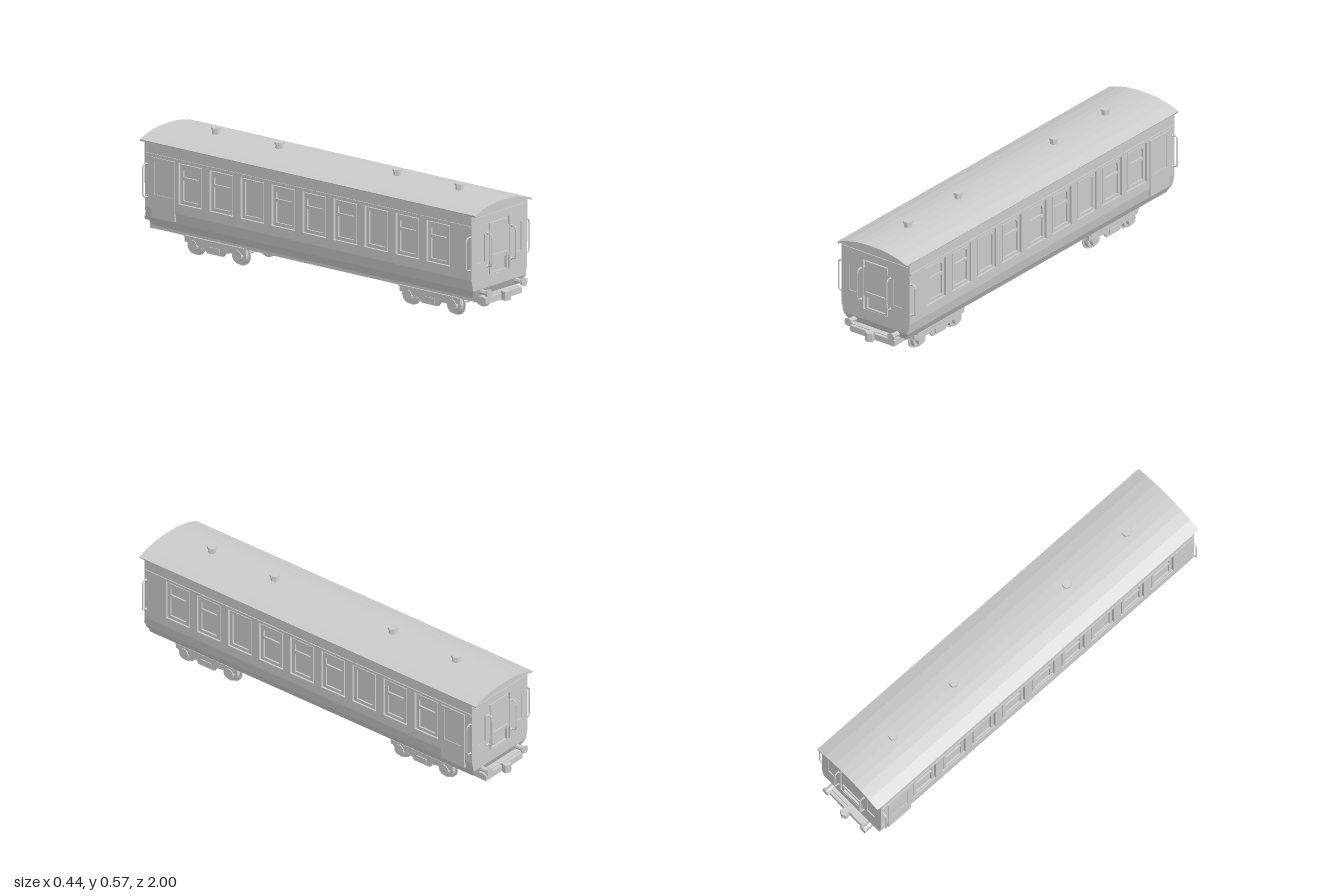
import * as THREE from 'three';

const mat = new THREE.MeshStandardMaterial({ color: 0xcccccc, flatShading: true, side: THREE.DoubleSide });

function add(parent, name, geo, x = 0, y = 0, z = 0) {
  const m = new THREE.Mesh(geo, mat);
  m.name = name;
  m.position.set(x, y, z);
  parent.add(m);
  return m;
}
const box = (w, h, d) => new THREE.BoxGeometry(w, h, d);
// box given by its limits
function block(parent, name, x0, x1, y0, y1, z0, z1) {
  return add(parent, name, box(x1 - x0, y1 - y0, z1 - z0), (x0 + x1) / 2, (y0 + y1) / 2, (z0 + z1) / 2);
}
const poly = (pts, Type = THREE.Shape) => new Type(pts.map(p => new THREE.Vector2(p[0], p[1])));
const rect = (x0, x1, y0, y1, Type = THREE.Shape) => poly([[x0, y0], [x1, y0], [x1, y1], [x0, y1]], Type);
const extrude = (shape, depth) => new THREE.ExtrudeGeometry(shape, { depth, bevelEnabled: false, curveSegments: 8 });

// plate whose shape is drawn in (z, y), with its outer face at x = s * outer
function sidePlate(parent, name, shape, depth, outer, s) {
  const geo = extrude(shape, depth).rotateY(-Math.PI / 2);
  return add(parent, name, geo, s > 0 ? outer : depth - outer);
}
// plate whose shape is drawn in (x, y), with its outer face at z = s * outer
function endPlate(parent, name, shape, depth, outer, s) {
  return add(parent, name, extrude(shape, depth), 0, 0, s > 0 ? outer - depth : -outer);
}

// roof curve, one half from the crown outwards
const half = [[0, 0.543], [0.045, 0.542], [0.085, 0.538], [0.14, 0.527], [0.195, 0.508]];
const arc = half.slice(1).reverse().map(([x, y]) => [-x, y]).concat(half);
const innerArc = arc.map(([x, y]) => [x * 0.975, y - 0.008]);

const windowZ = Array.from({ length: 9 }, (_, i) => 0.749 - i * 0.1783);
const W = 0.068, Y0 = 0.25, Y1 = 0.44;

function addSide(g, s) {
  // outer wall pierced by the window bays
  const wall = rect(-0.928, 0.928, 0.205, 0.505);
  windowZ.forEach(z => wall.holes.push(rect(z - W, z + W, Y0, Y1, THREE.Path)));
  sidePlate(g, 'sideWall', wall, 0.012, 0.19, s);

  // window frames: every fourth bay is a tall plain light, the rest are arched
  windowZ.forEach((z, i) => {
    const frame = rect(z - W + 0.008, z + W - 0.008, Y0 + 0.004, Y1 - 0.006);
    const w = W - 0.023;
    if (i === 2 || i === 6) {
      frame.holes.push(rect(z - w, z + w, 0.268, 0.42, THREE.Path));
    } else {
      frame.holes.push(rect(z - w, z + w, 0.268, 0.362, THREE.Path));
      const top = new THREE.Path();
      top.moveTo(z - w, 0.376);
      top.lineTo(z + w, 0.376);
      top.lineTo(z + w, 0.4);
      top.quadraticCurveTo(z + w, 0.422, z + w - 0.022, 0.424);
      top.lineTo(z - w + 0.022, 0.424);
      top.quadraticCurveTo(z - w, 0.422, z - w, 0.4);
      frame.holes.push(top);
    }
    sidePlate(g, 'windowFrame', frame, 0.008, 0.186, s);
  });

  // rear passenger door
  sidePlate(g, 'sideDoor', rect(-0.898, -0.765, 0.165, 0.44), 0.012, 0.192, s);
  const trim = rect(-0.898, -0.765, 0.165, 0.44);
  trim.holes.push(rect(-0.88, -0.783, 0.27, 0.425, THREE.Path));
  sidePlate(g, 'sideDoorFrame', trim, 0.004, 0.195, s);

  // long mouldings
  sidePlate(g, 'waistRail', rect(-0.935, 0.935, 0.445, 0.455), 0.006, 0.194, s);
  sidePlate(g, 'cornice', rect(-0.935, 0.935, 0.495, 0.506), 0.006, 0.193, s);
}

// upright grab rail standing out along dir
function grabRail(g, name, x, z, dir, reach) {
  const at = (y, d) => new THREE.Vector3(x + dir.x * d, y, z + dir.z * d);
  const path = new THREE.CurvePath();
  const pts = [at(0.25, -0.004), at(0.255, reach * 0.8), at(0.268, reach), at(0.388, reach), at(0.4, reach * 0.8), at(0.405, -0.004)];
  for (let i = 1; i < pts.length; i++) path.add(new THREE.LineCurve3(pts[i - 1], pts[i]));
  add(g, name, new THREE.TubeGeometry(path, 30, 0.0035, 6));
  for (const y of [0.251, 0.402]) add(g, name + 'Foot', new THREE.OctahedronGeometry(0.008), x, y, z);
}

function addEnd(g, s) {
  // end wall up to the roof, with recessed doorway and two side panels
  const wall = poly([[-0.19, 0.205], [0.19, 0.205], ...innerArc.slice().reverse()]);
  wall.holes.push(rect(-0.07, 0.07, 0.207, 0.45, THREE.Path));
  for (const c of [-0.125, 0.125]) wall.holes.push(rect(c - 0.025, c + 0.025, 0.275, 0.405, THREE.Path));
  endPlate(g, 'endWall', wall, 0.014, 0.94, s);
  endPlate(g, 'endPanels', rect(-0.16, 0.16, 0.27, 0.41), 0.01, 0.936, s);

  // gangway door
  const door = rect(-0.062, 0.062, 0.207, 0.443);
  door.holes.push(rect(-0.05, 0.05, 0.215, 0.29, THREE.Path));
  endPlate(g, 'endDoor', door, 0.01, 0.938, s);
  endPlate(g, 'endDoorLedge', rect(-0.052, 0.052, 0.29, 0.296), 0.012, 0.945, s);
  endPlate(g, 'endMoulding', rect(-0.182, 0.182, 0.478, 0.487), 0.008, 0.944, s);

  // grab rails on the end and round the corner
  for (const sx of [-1, 1]) {
    grabRail(g, 'endGrabRail', sx * 0.082, s * 0.94, { x: 0, z: s }, 0.025);
    grabRail(g, 'sideGrabRail', sx * 0.19, s * 0.93, { x: sx, z: 0 }, 0.025);
    // buffer with shank and head
    const shank = new THREE.CylinderGeometry(0.011, 0.013, 0.06, 8).rotateX(s * Math.PI / 2);
    add(g, 'bufferShank', shank, sx * 0.12, 0.142, s * 0.945);
    const head = new THREE.CylinderGeometry(0.02, 0.017, 0.014, 8).rotateX(s * Math.PI / 2);
    add(g, 'bufferHead', head, sx * 0.12, 0.142, s * 0.978);
  }

  // coupler with a pointed head
  add(g, 'couplerBar', box(0.024, 0.026, 0.05), 0, 0.108, s * 0.955);
  const plan = poly([[-0.012, 0], [0.012, 0], [0.02, 0.018], [0.02, 0.03], [0, 0.04], [-0.02, 0.03], [-0.02, 0.018]]);
  const coupler = add(g, 'couplerHead', extrude(plan, 0.04).rotateX(Math.PI / 2), 0, 0.128, s * 0.96);
  coupler.scale.z = s;
  add(g, 'headstock', box(0.25, 0.028, 0.03), 0, 0.103, s * 0.95);
}

function makeBogie(z) {
  const b = new THREE.Group();
  b.name = 'bogie';
  b.position.z = z;
  block(b, 'bolster', -0.055, 0.055, 0.044, 0.092, -0.05, 0.05);
  block(b, 'bogiePlate', -0.088, 0.088, 0.06, 0.072, -0.085, 0.085);
  for (const s of [-1, 1]) {
    // side frame with a dropped centre
    const frame = poly([[-0.175, 0.093], [-0.175, 0.062], [-0.1, 0.055], [-0.06, 0.05], [-0.045, 0.03],
      [0.045, 0.03], [0.06, 0.05], [0.1, 0.055], [0.175, 0.062], [0.175, 0.093]]);
    sidePlate(b, 'sideFrame', frame, 0.013, 0.122, s);
    block(b, 'frameLedge', s * 0.12 - 0.013, s * 0.12 + 0.013, 0.087, 0.093, -0.17, 0.17);
    block(b, 'springBox', s * 0.117 - 0.009, s * 0.117 + 0.009, 0.04, 0.062, -0.03, 0.03);
  }
  for (const wz of [-0.128, 0.128]) {
    const disc = (name, r, x0, x1, n) => add(b, name,
      new THREE.CylinderGeometry(r, r, x1 - x0, n).rotateZ(Math.PI / 2), (x0 + x1) / 2, 0.05, wz);
    disc('axle', 0.009, -0.1, 0.1, 8);
    for (const s of [-1, 1]) {
      const side = (name, r, a, c, n) => s > 0 ? disc(name, r, a, c, n) : disc(name, r, -c, -a, n);
      side('wheelFlange', 0.05, 0.086, 0.091, 20);
      side('wheelTread', 0.041, 0.091, 0.11, 20);
      side('axleBox', 0.026, 0.108, 0.126, 12);
    }
  }
  return b;
}

export function createModel() {
  const g = new THREE.Group();
  g.name = 'railwayCarriage';

  // body core behind the pierced walls, and the inward-sloping lower body
  block(g, 'bodyCore', -0.178, 0.178, 0.2, 0.508, -0.928, 0.928);
  const lower = poly([[-0.18, 0.155], [0.18, 0.155], [0.19, 0.205], [-0.19, 0.205]]);
  endPlate(g, 'lowerBody', lower, 1.88, 0.94, 1);
  const skirt = extrude(poly([[-0.16, 0.117], [0.16, 0.117], [0.18, 0.155], [-0.18, 0.155]]), 1.88).translate(0, 0, -0.94);
  const p = skirt.attributes.position;
  for (let i = 0; i < p.count; i++) if (p.getY(i) < 0.13) p.setZ(i, p.getZ(i) * 0.98);
  skirt.computeVertexNormals();
  add(g, 'skirt', skirt);

  // curved overhanging roof
  endPlate(g, 'roof', poly([...arc, ...innerArc.slice().reverse()]), 1.93, 0.965, 1);

  // roof ventilators
  for (const z of [0.711, 0.353, -0.326, -0.69]) {
    add(g, 'ventStem', new THREE.CylinderGeometry(0.017, 0.019, 0.025, 6).rotateY(Math.PI / 6), 0, 0.55, z);
    add(g, 'ventCap', new THREE.CylinderGeometry(0.022, 0.023, 0.009, 6).rotateY(Math.PI / 6), 0, 0.566, z);
  }

  // underframe
  block(g, 'underframe', -0.125, 0.125, 0.09, 0.12, -0.95, 0.95);

  for (const s of [-1, 1]) {
    addSide(g, s);
    addEnd(g, s);
  }
  g.add(makeBogie(0.642), makeBogie(-0.594));
  return g;
}
